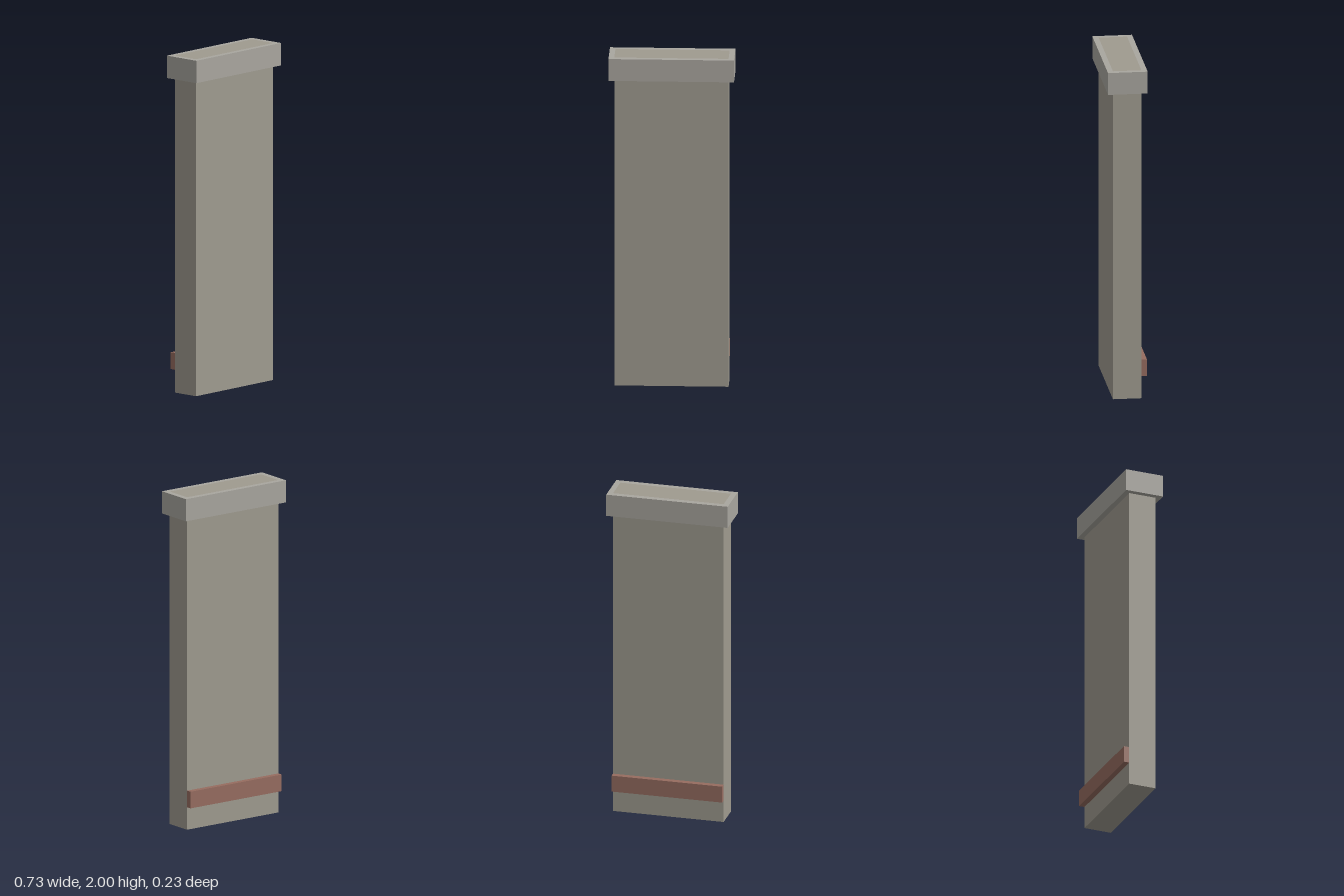
import * as THREE from 'three';

const WIDTH = 0.666, DEPTH = 0.167, HEIGHT = 2;
const CAP_HEIGHT = 0.133, OVERHANG = 0.033;

function rectangle(PathType, w, d) {
  return new PathType([[-1, -1], [1, -1], [1, 1], [-1, 1]]
    .map(([x, y]) => new THREE.Vector2(x * w / 2, y * d / 2)));
}

function addPart(group, name, geometry, color, x, y, z) {
  const mesh = new THREE.Mesh(geometry, new THREE.MeshStandardMaterial({ color }));
  mesh.name = name;
  mesh.position.set(x, y, z);
  group.add(mesh);
}

export function createModel() {
  const group = new THREE.Group();
  group.name = 'wallPier';

  // Tall slab, running right up through the cap
  addPart(group, 'slab', new THREE.BoxGeometry(WIDTH, HEIGHT, DEPTH), 0x9f9b8f, 0, HEIGHT / 2, 0);

  // Overhanging cap as a collar, so the slab's top shows flush inside it
  const collar = rectangle(THREE.Shape, WIDTH + 2 * OVERHANG, DEPTH + 2 * OVERHANG);
  collar.holes.push(rectangle(THREE.Path, WIDTH, DEPTH));
  const capGeometry = new THREE.ExtrudeGeometry(collar, { depth: CAP_HEIGHT, bevelEnabled: false });
  capGeometry.rotateX(-Math.PI / 2);
  addPart(group, 'cap', capGeometry, 0xa9a69f, 0, HEIGHT - CAP_HEIGHT, 0);

  // Horizontal band low on the back
  addPart(group, 'backBand', new THREE.BoxGeometry(WIDTH, 0.1, OVERHANG), 0x966c60,
    0, 0.185, -(DEPTH + OVERHANG) / 2);

  return group;
}
